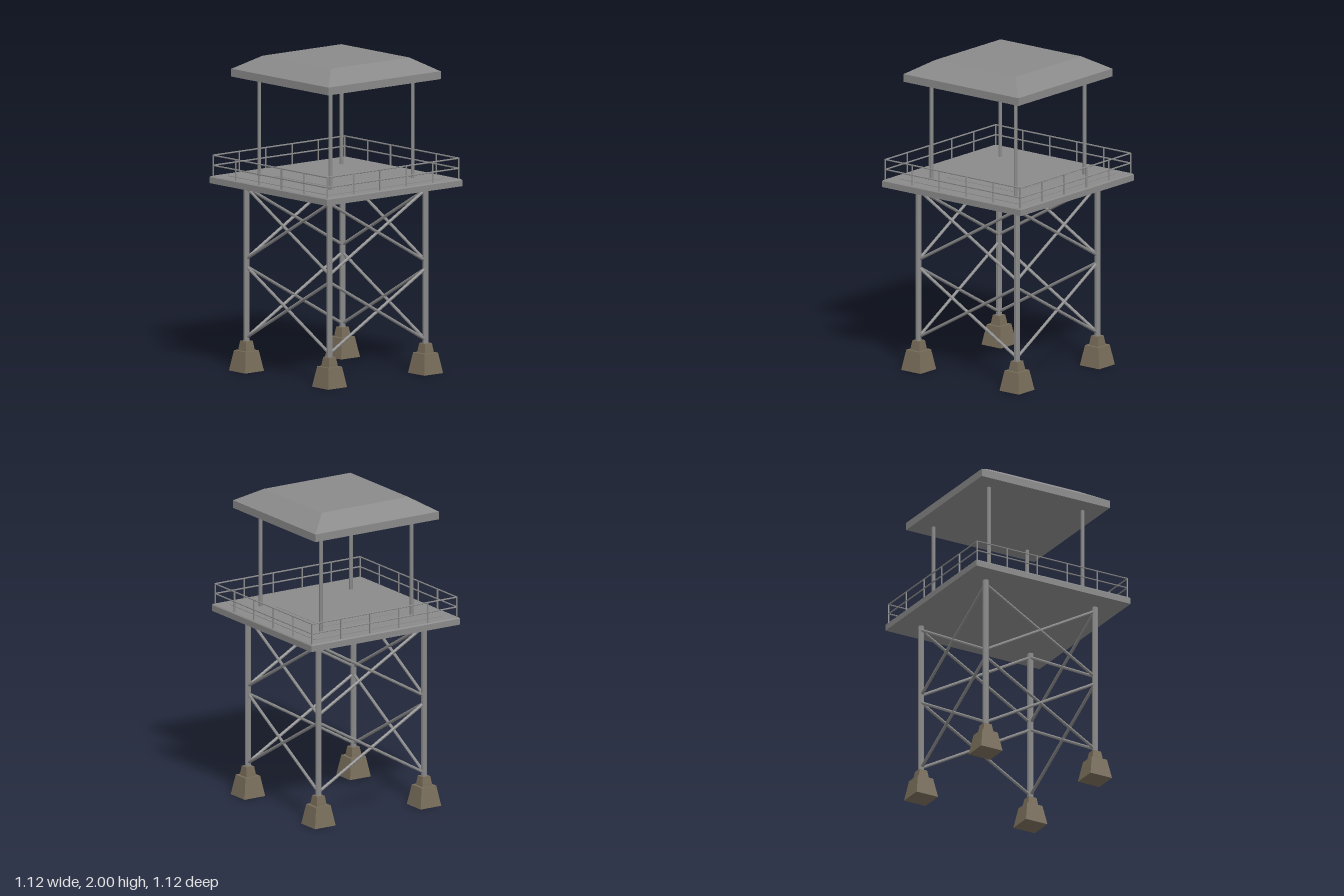
import * as THREE from 'three';

export function createModel() {
  const model = new THREE.Group();
  model.name = 'watchtower';
  const steel = new THREE.MeshStandardMaterial({ color: 0x8a8a8a });
  steel.name = 'grey steel';
  const concrete = new THREE.MeshStandardMaterial({ color: 0x776c59 });
  concrete.name = 'brown concrete';

  const group = (name, parent = model) => {
    const g = new THREE.Group();
    g.name = name;
    parent.add(g);
    return g;
  };
  const add = (parent, name, geometry, material) => {
    const mesh = new THREE.Mesh(geometry, material);
    mesh.name = name;
    parent.add(mesh);
    return mesh;
  };
  const faceted = (geometry) => {
    const g = geometry.toNonIndexed();
    g.computeVertexNormals();
    return g;
  };
  // Square tapered block, given half widths at the bottom and the top
  const block = (parent, name, bottom, top, y0, y1, material) => {
    const g = new THREE.CylinderGeometry(top * Math.SQRT2, bottom * Math.SQRT2, y1 - y0, 4);
    g.rotateY(Math.PI / 4).translate(0, (y0 + y1) / 2, 0);
    return add(parent, name, faceted(g), material);
  };
  // Straight round bar between two points
  const bar = (parent, name, a, b, radius, sides = 8) => {
    const from = new THREE.Vector3(...a), to = new THREE.Vector3(...b);
    const dir = to.clone().sub(from);
    const g = new THREE.CylinderGeometry(radius, radius, dir.length(), sides);
    g.rotateY(Math.PI / sides);
    const mesh = add(parent, name, faceted(g), steel);
    mesh.position.copy(from).add(to).multiplyScalar(0.5);
    mesh.quaternion.setFromUnitVectors(new THREE.Vector3(0, 1, 0), dir.normalize());
  };

  // Four corners: footing, leg and roof post
  for (const sx of [-1, 1]) {
    for (const sz of [-1, 1]) {
      const footing = group('footing');
      footing.position.set(sx * 0.397, 0, sz * 0.397);
      block(footing, 'footingBase', 0.078, 0.055, 0, 0.13, concrete);
      block(footing, 'footingNeck', 0.037, 0.034, 0.13, 0.152, concrete);
      block(footing, 'footingCap', 0.034, 0.028, 0.152, 0.19, concrete);
      bar(model, 'leg', [sx * 0.397, 0.17, sz * 0.397], [sx * 0.397, 1.19, sz * 0.397], 0.02);
      bar(model, 'roofPost', [sx * 0.34, 1.22, sz * 0.34], [sx * 0.34, 1.88, sz * 0.34], 0.0125);
    }
  }

  // Cross bracing and railing, repeated on four sides
  for (let i = 0; i < 4; i++) {
    const side = group('towerSide');
    side.rotation.y = i * Math.PI / 2;
    for (const [low, high] of [[0.212, 0.662], [0.712, 1.162]]) {
      for (const s of [-1, 1]) {
        bar(side, 'crossBrace', [-s * 0.395, low, 0.397], [s * 0.395, high, 0.397], 0.01);
      }
    }
    const railing = group('railing', side);
    const r = 0.545;
    for (const y of [1.3, 1.364]) {
      bar(railing, 'rail', [-r, y, r], [r, y, r], 0.005, 6);
    }
    for (let p = 0; p < 5; p++) {
      const x = -r + p * r * 0.4;
      bar(railing, 'railPost', [x, 1.225, r], [x, 1.366, r], 0.005, 6);
    }
  }

  // Platform with a small bevelled edge and a floor panel
  const deck = group('deck');
  block(deck, 'deckSlab', 0.56, 0.56, 1.187, 1.226, steel);
  block(deck, 'deckBevel', 0.56, 0.553, 1.226, 1.233, steel);
  block(deck, 'floorPanel', 0.478, 0.478, 1.232, 1.236, steel);
  block(deck, 'floorHatch', 0.27, 0.27, 1.235, 1.238, steel);

  // Roof: straight rim below a flat-topped hip
  const roof = group('roof');
  block(roof, 'roofRim', 0.465, 0.465, 1.865, 1.915, steel);
  block(roof, 'roofHip', 0.463, 0.325, 1.915, 2, steel);

  return model;
}
